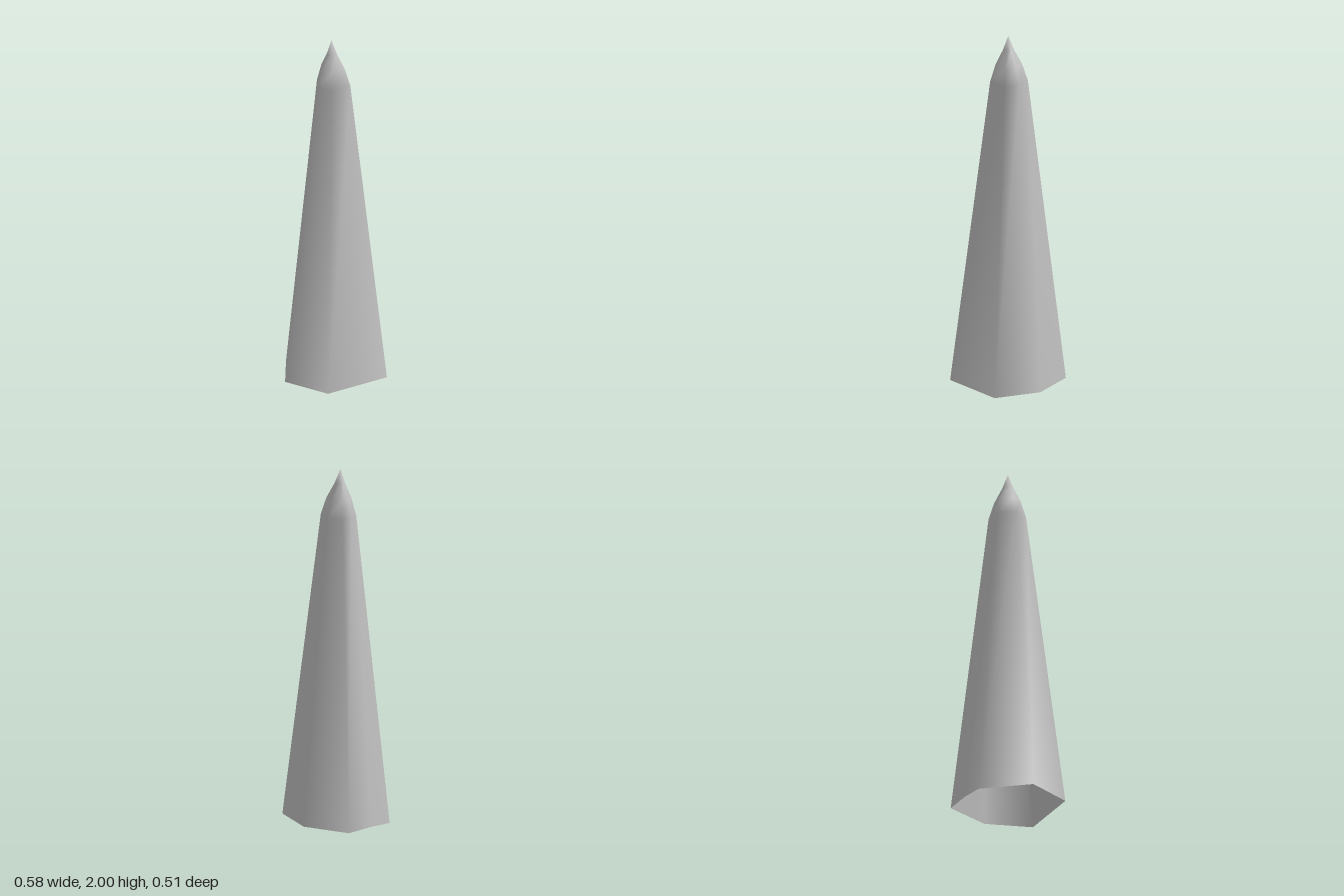
import * as THREE from 'three';

// Open base outline: x, y, z of each corner
const BASE = [
  [-0.29, 0.012, 0], [-0.122, 0, -0.248], [0.03, 0.012, -0.257], [0.195, 0.012, -0.257],
  [0.29, 0.012, 0], [0.207, 0.012, 0.255], [-0.177, 0.012, 0.255],
];
// Shoulder outline (x, z) where the shaft meets the point
const SHOULDER = [
  [-0.083, 0], [-0.028, -0.083], [0.012, -0.084], [0.078, -0.085],
  [0.11, 0], [0.081, 0.083], [-0.042, 0.083],
];
// Height and scale of each ring of the pointed end
const RINGS = [[1.74, 1], [1.835, 0.71], [1.92, 0.29]];
const TIP = [0.012, 2, 0];

export function createModel() {
  const group = new THREE.Group();
  const stone = new THREE.MeshStandardMaterial({ color: 0xbfbfbf, side: THREE.DoubleSide });
  stone.name = 'paleGrey';

  const positions = [...BASE.flat()];
  for (const [y, s] of RINGS) {
    for (const [x, z] of SHOULDER) positions.push(TIP[0] + (x - TIP[0]) * s, y, z * s);
  }
  positions.push(...TIP);

  // Join the rings, then close them at the tip
  const n = BASE.length;
  const tip = n * (RINGS.length + 1);
  const index = [];
  for (let i = 0; i < n; i++) {
    const j = (i + 1) % n;
    for (let r = 0; r < RINGS.length; r++) {
      const a = r * n + i, b = r * n + j;
      index.push(a, a + n, b, b, a + n, b + n);
    }
    index.push(tip - n + i, tip, tip - n + j);
  }

  const geometry = new THREE.BufferGeometry();
  geometry.setAttribute('position', new THREE.Float32BufferAttribute(positions, 3));
  geometry.setIndex(index);
  geometry.computeVertexNormals();

  const spike = new THREE.Mesh(geometry, stone);
  spike.name = 'spike';
  group.add(spike);
  return group;
}
